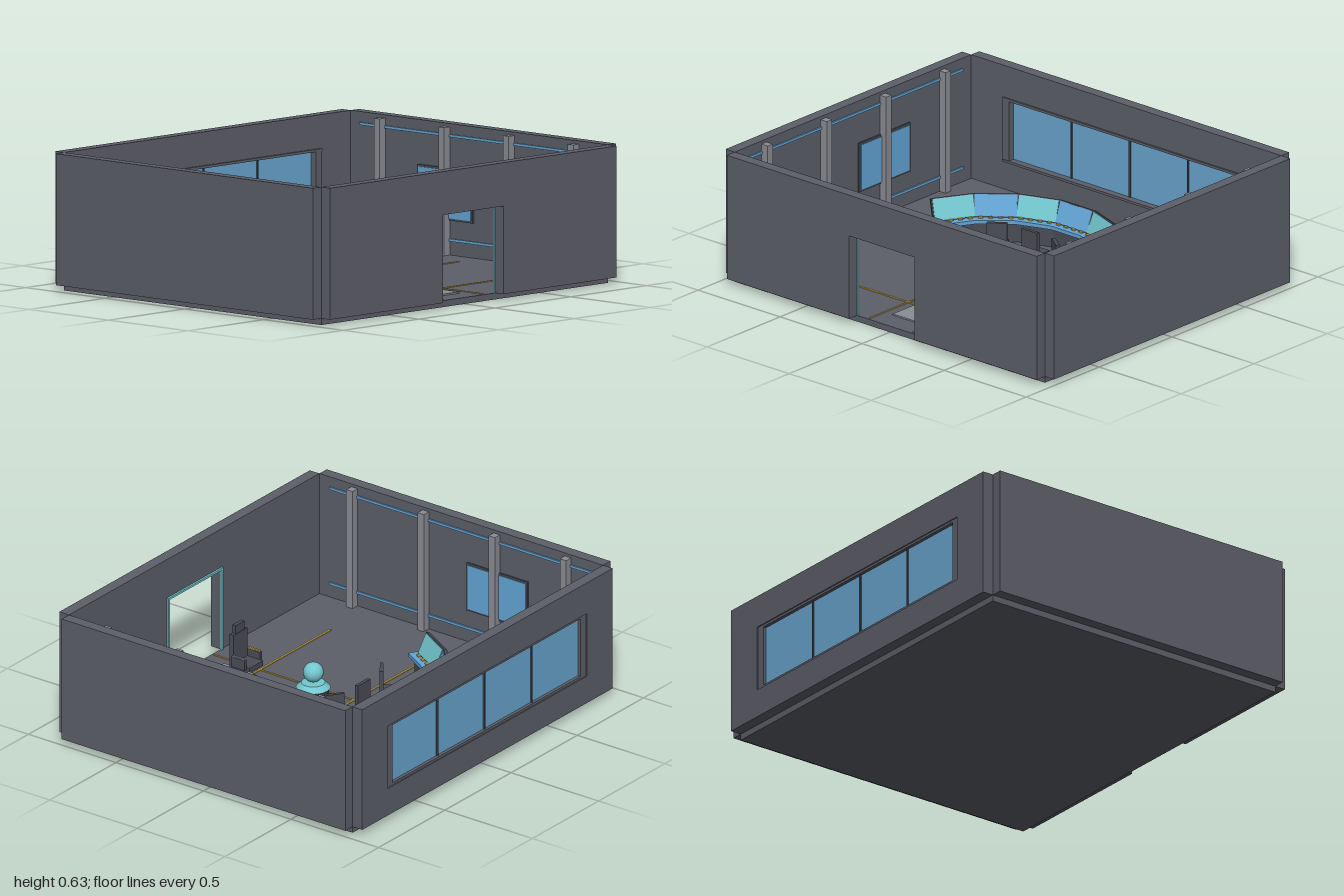
import * as THREE from 'three';

const mat = (name, color) => {
  const m = new THREE.MeshStandardMaterial({ color });
  m.name = name;
  return m;
};
const hull = mat('hull grey', 0x5d5f69);
const dark = mat('dark grey', 0x4b4d56);
const light = mat('light grey', 0x8b8d95);
const blue = mat('panel blue', 0x63a6d6);
const glass = mat('window blue', 0x6aa6d0);
const teal = mat('teal', 0x74c8d0);
const yellow = mat('marking yellow', 0xcbaa48);

function add(parent, name, geometry, material, x, y, z) {
  const mesh = new THREE.Mesh(geometry, material);
  mesh.name = name;
  mesh.position.set(x, y, z);
  parent.add(mesh);
  return mesh;
}

// Box given by its minimum and maximum on each axis
function span(parent, name, material, [x0, x1], [y0, y1], [z0, z1]) {
  return add(parent, name, new THREE.BoxGeometry(x1 - x0, y1 - y0, z1 - z0), material,
    (x0 + x1) / 2, (y0 + y1) / 2, (z0 + z1) / 2);
}

function subgroup(parent, name, x = 0, y = 0, z = 0, turn = 0) {
  const g = new THREE.Group();
  g.name = name;
  g.position.set(x, y, z);
  g.rotation.y = turn;
  parent.add(g);
  return g;
}

const FLOOR = 0.03, TOP = 0.635, STEP = THREE.MathUtils.degToRad(20);

function buildShell(root) {
  const g = subgroup(root, 'room shell');
  span(g, 'floor', hull, [-0.945, 0.945], [0, FLOOR], [-0.81, 0.81]);
  const back = [-0.865, -0.81], front = [0.81, 0.865];
  span(g, 'back wall base', hull, [-0.945, 0.945], [FLOOR, 0.165], back);
  span(g, 'back wall top', hull, [-0.945, 0.945], [0.48, TOP], back);
  span(g, 'door lintel', hull, [-0.2, 0.2], [0.435, TOP], front);
  for (const s of [-1, 1]) {
    const side = (name, m, a, b, y, z) => span(g, name, m, s > 0 ? [a, b] : [-b, -a], y, z);
    side('side wall', hull, 0.945, 1, [FLOOR, TOP], [-0.81, 0.81]);
    side('back wall pier', hull, 0.75, 0.945, [0.165, 0.48], back);
    side('front wall', hull, 0.2, 0.945, [FLOOR, TOP], front);
    side('door trim', teal, 0.197, 0.207, [FLOOR, 0.435], [0.8, 0.81]);
    side('window frame side', hull, 0.71, 0.75, [0.165, 0.48], [-0.86, -0.805]);
    // Wall columns, light strips and wall screen
    for (const z of [-0.61, -0.203, 0.203, 0.61]) {
      side('column', light, 0.907, 0.945, [FLOOR, 0.62], [z - 0.018, z + 0.018]);
    }
    for (const y of [0.1, 0.58]) {
      side('wall light strip', blue, 0.938, 0.945, [y - 0.006, y + 0.006], [-0.75, 0.75]);
    }
    side('wall screen frame', dark, 0.938, 0.945, [0.19, 0.43], [-0.385, -0.035]);
    side('wall screen', blue, 0.934, 0.938, [0.2, 0.42], [-0.375, -0.045]);
  }
  span(g, 'door trim top', teal, [-0.207, 0.207], [0.432, 0.442], [0.8, 0.81]);
}

function buildWindow(root) {
  const g = subgroup(root, 'rear window');
  for (const y of [0.165, 0.468]) {
    span(g, 'window rail', hull, [-0.75, 0.75], [y, y + 0.012], [-0.86, -0.802]);
  }
  for (let i = 0; i < 4; i++) {
    const x = -0.71 + i * 0.355;
    span(g, 'window pane', glass, [x, x + 0.355], [0.177, 0.468], [-0.844, -0.837]);
    if (i) span(g, 'window mullion', dark, [x - 0.004, x + 0.004], [0.177, 0.468], [-0.85, -0.831]);
  }
}

function buildMarkings(root) {
  const g = subgroup(root, 'floor markings');
  const y = [FLOOR, 0.034];
  for (const [half, z] of [[0.81, -0.542], [0.81, -0.002], [0.665, 0.535]]) {
    span(g, 'cross line', yellow, [-half, half], y, [z - 0.005, z + 0.005]);
  }
  for (const x of [-0.133, 0.133]) {
    span(g, 'aisle line', yellow, [x - 0.004, x + 0.004], y, [0, 0.8]);
  }
  span(g, 'floor plate', light, [-0.08, 0.08], [FLOOR, 0.037], [0.535, 0.7]);
}

// Curved desk of seven stations, with sloping screens in alternating colours
function buildConsole(root) {
  const g = subgroup(root, 'curved console', 0, 0, 0.107);
  for (let i = -3; i <= 3; i++) {
    const s = subgroup(g, 'station', 0, 0, 0, -i * STEP);
    span(s, 'desk body', dark, [-0.105, 0.105], [FLOOR, 0.125], [-0.59, -0.525]);
    span(s, 'desk top', blue, [-0.12, 0.12], [0.125, 0.143], [-0.61, -0.5]);
    const screen = subgroup(s, 'screen unit', 0, 0.19, -0.569);
    screen.rotation.x = -0.4;
    add(screen, 'screen housing', new THREE.BoxGeometry(0.206, 0.11, 0.016), dark, 0, 0, 0);
    add(screen, 'screen face', new THREE.BoxGeometry(0.194, 0.1, 0.004), i % 2 ? blue : teal, 0, 0, 0.01)
      .material = i % 2 ? teal : blue;
    for (let k = 0; k < 4; k++) {
      const x = -0.069 + k * 0.046;
      span(s, 'control button', yellow, [x - 0.01, x + 0.01], [0.143, 0.149], [-0.537, -0.524]);
    }
  }
}

// Swivel chair facing -z
function swivelBase(g, radius, seatY) {
  add(g, 'chair foot', new THREE.CylinderGeometry(radius, radius, 0.012, 16), dark, 0, 0.036, 0);
  add(g, 'chair stem', new THREE.CylinderGeometry(0.014, 0.014, seatY - 0.04, 12), dark, 0, (seatY + 0.04) / 2, 0);
}

function buildCrewChair(root, x, z, turn) {
  const g = subgroup(root, 'crew chair', x, 0, z, turn);
  swivelBase(g, 0.035, 0.09);
  span(g, 'crew seat', dark, [-0.047, 0.047], [0.085, 0.105], [-0.045, 0.04]);
  span(g, 'crew backrest', dark, [-0.047, 0.047], [0.095, 0.215], [0.028, 0.045]);
}

function buildCommandChair(root) {
  const g = subgroup(root, 'command chair', 0, 0, 0.51);
  swivelBase(g, 0.06, 0.11);
  span(g, 'command seat', dark, [-0.052, 0.052], [0.105, 0.13], [-0.055, 0.05]);
  span(g, 'command backrest', dark, [-0.052, 0.052], [0.1, 0.27], [0.035, 0.058]);
  span(g, 'headrest', dark, [-0.034, 0.034], [0.27, 0.312], [0.037, 0.056]);
  for (const s of [-1, 1]) {
    add(g, 'armrest', new THREE.BoxGeometry(0.014, 0.05, 0.075), dark, s * 0.058, 0.142, 0);
    add(g, 'armrest pad', new THREE.BoxGeometry(0.01, 0.006, 0.07), s < 0 ? yellow : light, s * 0.058, 0.17, 0);
  }
}

// Round table with a globe above it
function buildGlobeTable(root) {
  const g = subgroup(root, 'globe table', 0, 0, 0.13);
  add(g, 'table pedestal', new THREE.CylinderGeometry(0.075, 0.06, 0.08, 20), dark, 0, 0.07, 0);
  add(g, 'table top', new THREE.CylinderGeometry(0.055, 0.08, 0.025, 20), teal, 0, 0.1225, 0);
  add(g, 'globe', new THREE.SphereGeometry(0.047, 24, 16), teal, 0, 0.185, 0);
}

export function createModel() {
  const root = new THREE.Group();
  root.name = 'control room';
  buildShell(root);
  buildWindow(root);
  buildMarkings(root);
  buildConsole(root);
  buildCrewChair(root, 0, -0.19, 0);
  for (const s of [-1, 1]) buildCrewChair(root, s * 0.2, -0.155, -s * 0.63);
  buildCommandChair(root);
  buildGlobeTable(root);
  return root;
}
